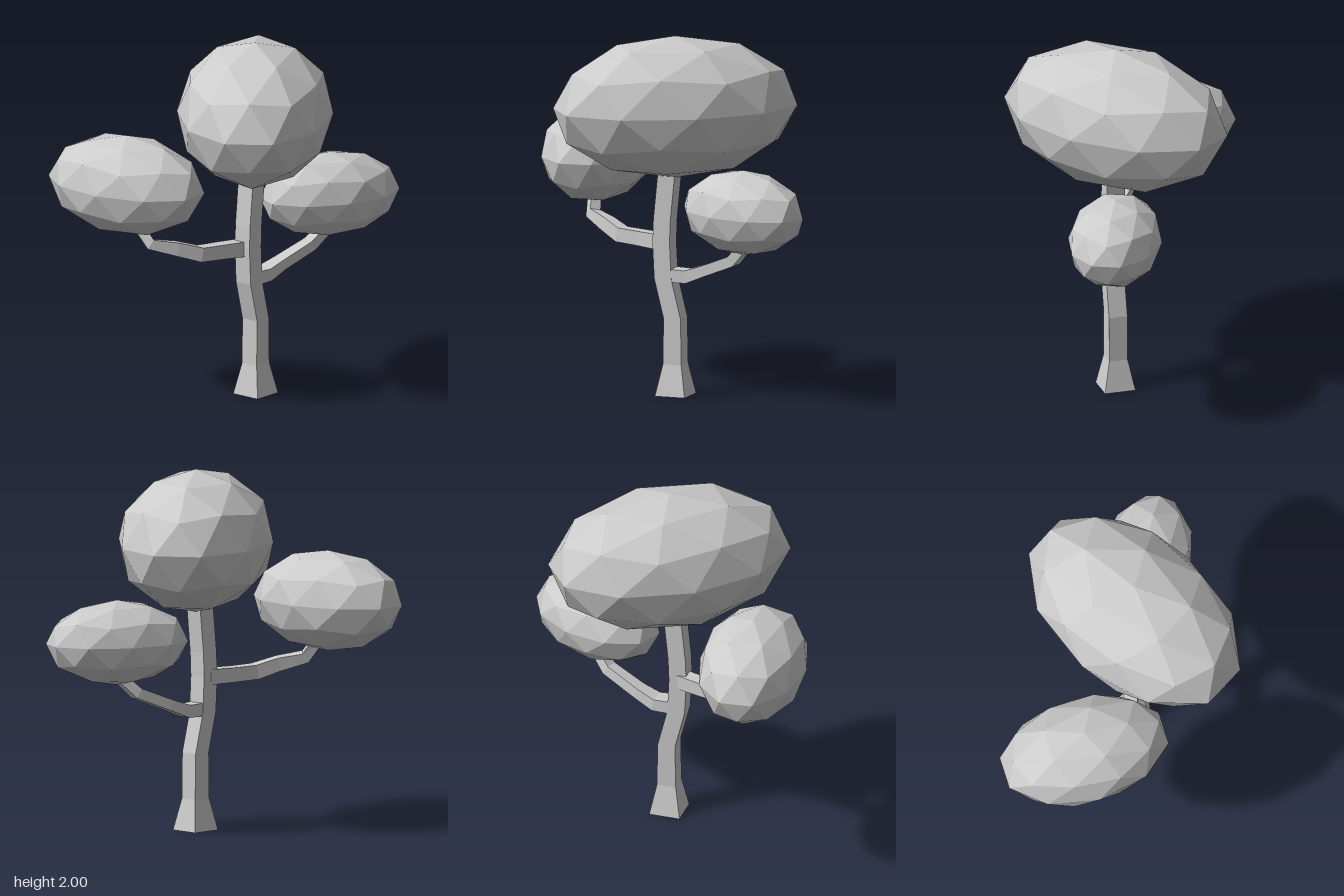
import * as THREE from 'three';

const material = new THREE.MeshStandardMaterial({ color: 0xcccccc, flatShading: true });

// Square limb swept through points [x, y, z, width across, width in the bend plane]
function limb(name, points, level = false) {
  const centres = points.map(p => new THREE.Vector3(p[0], p[1], p[2]));
  const side = new THREE.Vector3(0, 0, 1);
  const rings = points.map((p, i) => {
    const tangent = new THREE.Vector3(0, 1, 0);
    if (!level) {
      const before = centres[Math.max(i - 1, 0)];
      const after = centres[Math.min(i + 1, centres.length - 1)];
      tangent.subVectors(after, before).normalize();
    }
    side.addScaledVector(tangent, -side.dot(tangent)).normalize();
    const normal = tangent.clone().cross(side);
    return [[1, 1], [-1, 1], [-1, -1], [1, -1]].map(([a, b]) => centres[i].clone()
      .addScaledVector(side, a * p[3] / 2)
      .addScaledVector(normal, b * p[4] / 2));
  });
  const corners = [];
  const quad = (a, b, c, d) => corners.push(a, b, c, a, c, d);
  for (let i = 0; i < rings.length - 1; i++) {
    for (let k = 0; k < 4; k++) {
      const n = (k + 1) % 4;
      quad(rings[i][k], rings[i][n], rings[i + 1][n], rings[i + 1][k]);
    }
  }
  quad(...[...rings[0]].reverse());
  quad(...rings[rings.length - 1]);
  const geometry = new THREE.BufferGeometry().setFromPoints(corners);
  geometry.computeVertexNormals();
  const mesh = new THREE.Mesh(geometry, material);
  mesh.name = name;
  return mesh;
}

// Faceted ellipsoid of leaves with one vertex straight up, turned about y
function foliage(name, centre, radii, degrees) {
  const geometry = new THREE.IcosahedronGeometry(1, 1);
  geometry.rotateZ(-Math.atan(2 / (1 + Math.sqrt(5))));
  geometry.scale(...radii);
  geometry.computeVertexNormals();
  const mesh = new THREE.Mesh(geometry, material);
  mesh.name = name;
  mesh.position.set(...centre);
  mesh.rotation.y = THREE.MathUtils.degToRad(degrees);
  return mesh;
}

export function createModel() {
  const tree = new THREE.Group();
  tree.name = 'tree';

  // Crooked trunk with a flared foot
  tree.add(limb('trunk', [
    [0.037, 0, 0.172, 0.175, 0.175],
    [0.037, 0.175, 0.172, 0.105, 0.108],
    [0.037, 0.43, 0.172, 0.105, 0.1],
    [-0.018, 0.65, 0.172, 0.105, 0.1],
    [-0.028, 0.85, 0.172, 0.105, 0.1],
    [-0.023, 0.98, 0.172, 0.105, 0.1],
    [0.005, 1.26, 0.172, 0.105, 0.1],
  ], true));

  // Side branches
  tree.add(limb('rightBranch', [
    [-0.04, 0.845, 0.155, 0.08, 0.085],
    [-0.2, 0.85, 0.1, 0.08, 0.08],
    [-0.32, 0.855, 0.07, 0.08, 0.08],
    [-0.43, 0.895, 0, 0.07, 0.075],
    [-0.55, 0.93, -0.09, 0.065, 0.06],
    [-0.575, 1.05, -0.18, 0.055, 0.055],
  ]));
  tree.add(limb('leftBranch', [
    [-0.01, 0.67, 0.172, 0.1, 0.075],
    [0.115, 0.668, 0.175, 0.095, 0.07],
    [0.22, 0.708, 0.195, 0.08, 0.06],
    [0.41, 0.785, 0.25, 0.07, 0.06],
    [0.5, 0.88, 0.3, 0.06, 0.055],
  ]));

  // Leaf clumps
  tree.add(foliage('topFoliage', [0.035, 1.605, 0.17], [0.693, 0.395, 0.43], 37));
  tree.add(foliage('rightFoliage', [-0.58, 1.253, -0.235], [0.48, 0.278, 0.3], -84.6));
  tree.add(foliage('leftFoliage', [0.495, 1.07, 0.318], [0.406, 0.235, 0.26], -24.7));

  return tree;
}
